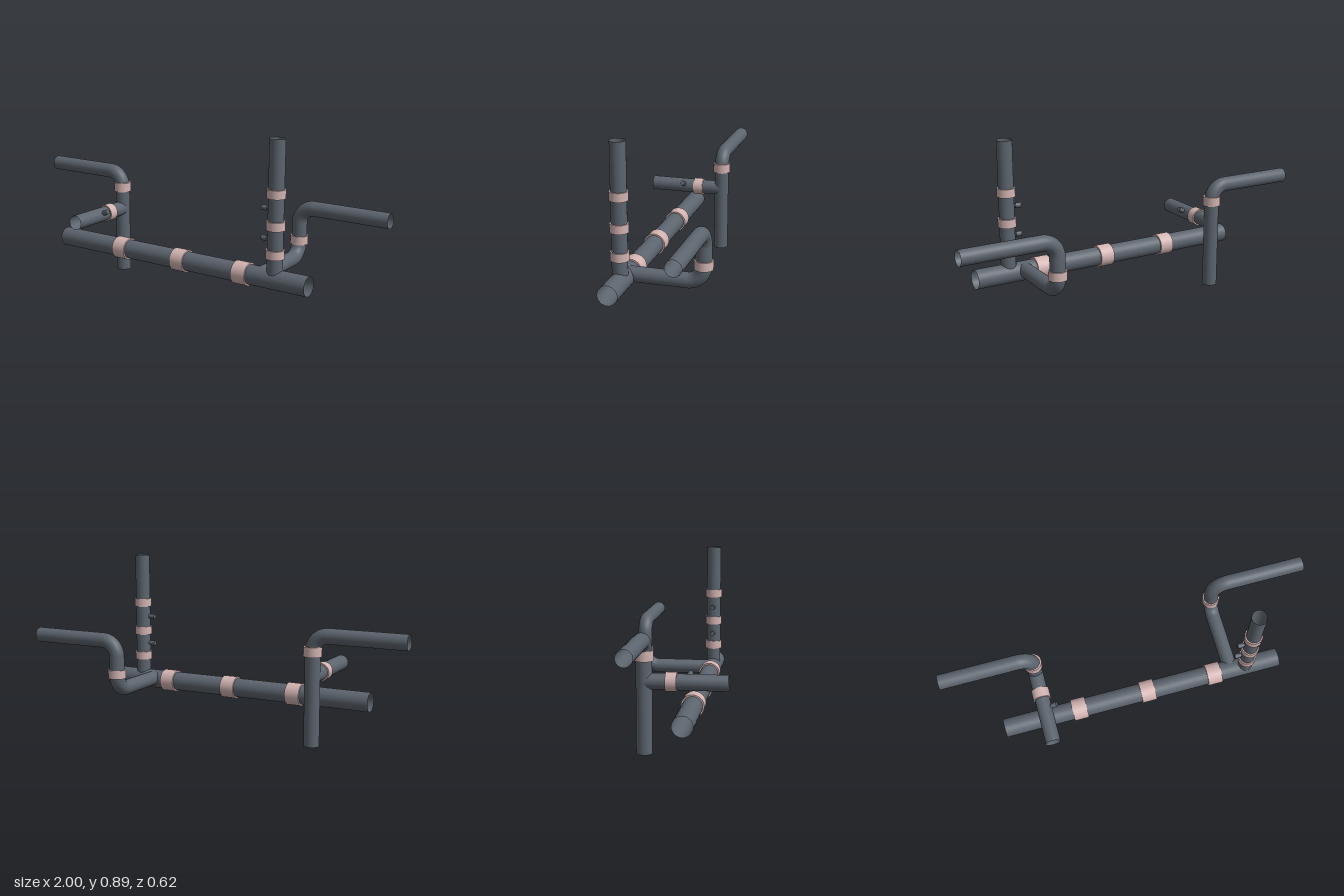
import * as THREE from 'three';

const V = (x, y, z) => new THREE.Vector3(x, y, z);
const pipeMat = new THREE.MeshStandardMaterial({ color: 0x5c646e, side: THREE.DoubleSide });
const collarMat = new THREE.MeshStandardMaterial({ color: 0xd2b4b2 });
const UP = V(0, 1, 0);

// Cylinder between two points
function rod(name, a, b, r, mat, open = false) {
  const d = b.clone().sub(a);
  const mesh = new THREE.Mesh(new THREE.CylinderGeometry(r, r, d.length(), 32, 1, open), mat);
  mesh.position.copy(a).add(b).multiplyScalar(0.5);
  mesh.quaternion.setFromUnitVectors(UP, d.normalize());
  mesh.name = name;
  return mesh;
}

// Open pipe through corner points, each corner rounded by a quarter bend
function bentPipe(name, points, r, bend = 0.08) {
  const path = new THREE.CurvePath();
  let start = points[0];
  for (let i = 1; i < points.length - 1; i++) {
    const p = points[i];
    const toPrev = points[i - 1].clone().sub(p).normalize();
    const toNext = points[i + 1].clone().sub(p).normalize();
    const at = (dir, k) => p.clone().addScaledVector(dir, bend * k);
    path.add(new THREE.LineCurve3(start, at(toPrev, 1)));
    path.add(new THREE.CubicBezierCurve3(at(toPrev, 1), at(toPrev, 0.448), at(toNext, 0.448), at(toNext, 1)));
    start = at(toNext, 1);
  }
  path.add(new THREE.LineCurve3(start, points[points.length - 1]));
  const mesh = new THREE.Mesh(new THREE.TubeGeometry(path, 110, r, 32, false), pipeMat);
  mesh.name = name;
  return mesh;
}

// Small valve: thin stem with a wider head
function valve(name, base, dir, reach) {
  const g = new THREE.Group();
  const at = (k) => base.clone().addScaledVector(dir, k);
  g.add(rod('valveStem', at(0.02), at(reach - 0.02), 0.009, pipeMat));
  g.add(rod('valveHead', at(reach - 0.03), at(reach), 0.013, pipeMat));
  g.name = name;
  return g;
}

export function createModel() {
  const model = new THREE.Group();
  model.name = 'pipework';
  const R = 0.039, C = 0.046;

  // Main horizontal pipe and its collars
  model.add(rod('mainPipe', V(-0.75, 0.2, 0.122), V(0.77, 0.2, 0.122), 0.05, pipeMat, true));
  for (const x of [-0.342, 0.035, 0.406])
    model.add(rod('mainCollar', V(x - 0.039, 0.2, 0.122), V(x + 0.039, 0.2, 0.122), 0.058, collarMat));

  // Tall riser with collars and two valves
  const rx = 0.585, rz = 0.124;
  model.add(rod('riser', V(rx, 0.21, rz), V(rx, 0.89, rz), R, pipeMat, true));
  for (const y of [0.33, 0.471, 0.627])
    model.add(rod('riserCollar', V(rx, y - 0.022, rz), V(rx, y + 0.022, rz), C, collarMat));
  for (const y of [0.4, 0.55])
    model.add(valve('riserValve', V(rx, y, rz), V(-1, 0, 0), 0.075));

  // Branch running back, up and out to the left
  model.add(bentPipe('leftBranch', [
    V(0.505, 0.21, 0.125), V(0.505, 0.21, -0.265), V(0.505, 0.47, -0.265), V(1, 0.47, -0.265),
  ], R));
  model.add(rod('leftBranchCollar', V(0.505, 0.276, -0.265), V(0.505, 0.321, -0.265), C, collarMat));

  // Upright on the right, bending outward at the top
  const ux = -0.52, uz = -0.09;
  model.add(bentPipe('rightUpright', [V(ux, 0, uz), V(ux, 0.555, uz), V(-1, 0.555, uz)], R));
  model.add(rod('rightUprightCollar', V(ux, 0.45, uz), V(ux, 0.5, uz), C, collarMat));

  // Short branch from the upright toward the front, with collar and tilted valve
  model.add(rod('frontBranch', V(ux, 0.352, uz), V(ux, 0.352, 0.31), R, pipeMat, true));
  model.add(rod('frontBranchCollar', V(ux, 0.352, 0.014), V(ux, 0.352, 0.067), C, collarMat));
  model.add(valve('frontBranchValve', V(ux, 0.352, 0.122), V(0.9, 0.42, 0).normalize(), 0.073));

  return model;
}
